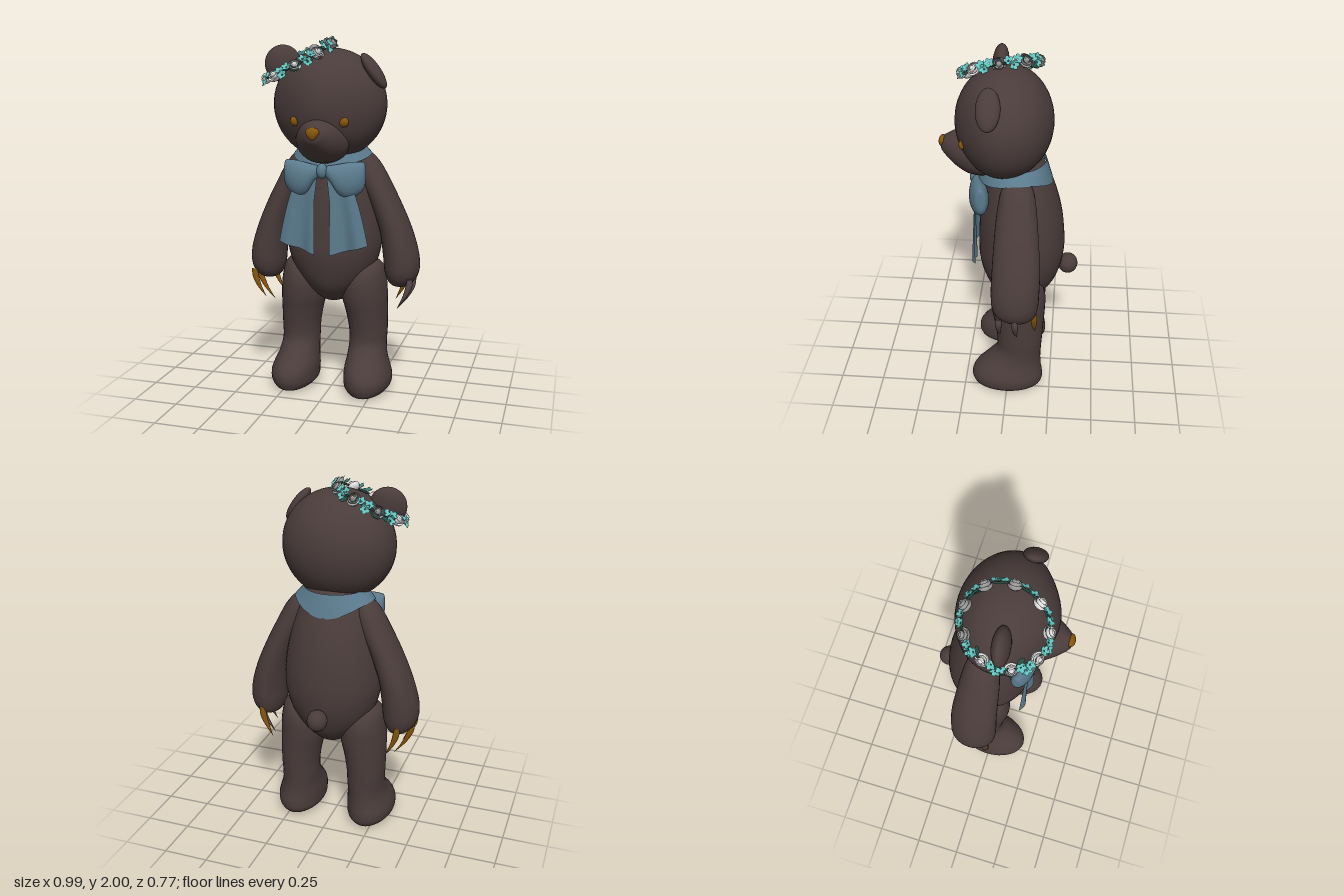
import * as THREE from 'three';
import { mergeGeometries } from 'three/addons/utils/BufferGeometryUtils.js';

const mat = (name, color, side = THREE.FrontSide) => {
  const m = new THREE.MeshStandardMaterial({ color, side });
  m.name = name;
  return m;
};

// Smooth closed body through elliptical sections [y, xc, rx, zc, rz], listed bottom to top
function loft(rows, seg = 32, steps = 5) {
  const curve = (f) => new THREE.CatmullRomCurve3(rows.map(f), false, 'catmullrom', 0.5);
  const mid = curve((r) => new THREE.Vector3(r[1], r[0], r[3]));
  const rad = curve((r) => new THREE.Vector3(r[2], 0, r[4]));
  const n = (rows.length - 1) * steps, pos = [], idx = [];
  for (let i = 0; i <= n; i++) {
    const c = mid.getPoint(i / n), r = rad.getPoint(i / n);
    for (let j = 0; j < seg; j++) {
      const a = (j / seg) * Math.PI * 2;
      pos.push(c.x + Math.max(r.x, 0) * Math.cos(a), c.y, c.z + Math.max(r.z, 0) * Math.sin(a));
      if (i === n) continue;
      const p = i * seg + j, q = i * seg + (j + 1) % seg;
      idx.push(p, p + seg, q, q, p + seg, q + seg);
    }
  }
  return surface(pos, idx);
}

// Open cloth sheet from a function (u, v) -> [x, y, z]
function sheet(fn, nu, nv) {
  const pos = [], idx = [];
  for (let i = 0; i <= nu; i++) for (let j = 0; j <= nv; j++) {
    pos.push(...fn(i / nu, j / nv));
    if (i === nu || j === nv) continue;
    const p = i * (nv + 1) + j, q = p + nv + 1;
    idx.push(p, q, p + 1, p + 1, q, q + 1);
  }
  return surface(pos, idx);
}

function surface(pos, idx) {
  const g = new THREE.BufferGeometry();
  g.setAttribute('position', new THREE.Float32BufferAttribute(pos, 3));
  g.setIndex(idx);
  g.computeVertexNormals();
  return g;
}

// Rose: a bud wrapped in rings of cupped petals, facing +z
function roseGeometry() {
  const parts = [new THREE.SphereGeometry(0.014, 8, 6).translate(0, 0, 0.012)];
  [[0.02, 3, 0.8], [0.029, 4, 1.15], [0.037, 5, 1.45]].forEach(([r, count, open], layer) => {
    for (let k = 0; k < count; k++) {
      const step = (Math.PI * 2) / count;
      const petal = new THREE.SphereGeometry(r, 5, 4, k * step + layer, step * 1.1, open, Math.PI - open);
      parts.push(petal.rotateX(Math.PI / 2).scale(1, 1, 0.75).translate(0, 0, 0.008 * (2 - layer)));
    }
  });
  return mergeGeometries(parts);
}

// Small five petal blossom facing +z
function blossomGeometry() {
  const parts = [];
  for (let k = 0; k < 5; k++) {
    parts.push(new THREE.CircleGeometry(0.0115, 7).scale(0.95, 1.15, 1).rotateX(0.4)
      .translate(0, 0.015, 0.004).rotateZ((k * Math.PI * 2) / 5));
  }
  return mergeGeometries(parts);
}

export function createModel() {
  const model = new THREE.Group();
  const fur = mat('dark brown fur', 0x4a3c3b);
  const amber = mat('amber', 0x85560c);
  const horn = mat('dark horn', 0x5a4a4a);
  const cloth = mat('blue cloth', 0x5b7b8d, THREE.DoubleSide);
  const white = mat('white petals', 0xe2e2e2, THREE.DoubleSide);
  const grey = mat('grey petals', 0x989898, THREE.DoubleSide);
  const teal = mat('teal petals', 0x62c4bf, THREE.DoubleSide);
  const green = mat('dark green leaf', 0x25483f, THREE.DoubleSide);

  const add = (name, geo, material, parent = model) => {
    const m = new THREE.Mesh(geo, material);
    m.name = name;
    parent.add(m);
    return m;
  };
  const ball = (name, material, p, s) => {
    const m = add(name, new THREE.SphereGeometry(1, 28, 20), material);
    m.position.set(...p);
    m.scale.set(...s);
    return m;
  };

  // Torso and tail
  add('torso', loft([
    [0.5, 0, 0, -0.06, 0], [0.525, 0, 0.07, -0.06, 0.08], [0.6, 0, 0.15, -0.06, 0.165],
    [0.7, 0, 0.225, -0.063, 0.212], [0.82, 0, 0.265, -0.065, 0.238], [0.95, 0, 0.27, -0.066, 0.238],
    [1.1, 0, 0.25, -0.06, 0.225], [1.25, 0, 0.215, -0.05, 0.195], [1.38, 0, 0.17, -0.03, 0.16],
    [1.45, 0, 0.12, -0.01, 0.12],
  ], 40), fur);
  ball('tail', fur, [0, 0.74, -0.33], [0.056, 0.06, 0.056]);

  // Head, with the face narrowing toward the muzzle
  const headGeo = new THREE.SphereGeometry(1, 48, 36);
  const hp = headGeo.attributes.position;
  for (let i = 0; i < hp.count; i++) {
    const x = hp.getX(i), y = hp.getY(i), z = hp.getZ(i);
    hp.setXYZ(i, x * 0.312, 1.63 + y * 0.3, 0.03 + z * 0.26 * (z > 0 ? 1 - 0.35 * x * x * z : 1));
  }
  headGeo.computeVertexNormals();
  add('head', headGeo, fur);

  const muzzle = add('muzzle', loft([
    [0, 0, 0.14, 0, 0.125], [0.07, 0, 0.148, 0, 0.13], [0.12, 0, 0.133, 0, 0.125], [0.18, 0, 0.103, 0, 0.1],
    [0.235, 0, 0.064, 0, 0.064], [0.265, 0, 0.034, 0, 0.036], [0.272, 0, 0, 0, 0],
  ]), fur);
  muzzle.position.set(0, 1.44, 0.1);
  muzzle.rotation.x = Math.PI / 2 - 0.2;

  const noseGeo = new THREE.SphereGeometry(1, 20, 14);
  const np = noseGeo.attributes.position;
  for (let i = 0; i < np.count; i++) np.setX(i, np.getX(i) * (0.8 + 0.35 * np.getY(i)));
  noseGeo.computeVertexNormals();
  const nose = add('nose', noseGeo, amber);
  nose.position.set(0, 1.497, 0.358);
  nose.scale.set(0.042, 0.035, 0.023);

  const earR = ball('rightEar', fur, [-0.255, 1.845, 0.07], [0.1, 0.1, 0.045]);
  earR.rotation.set(-0.1, 0.1, 0.3);
  const earL = ball('leftEar', fur, [0.255, 1.81, 0.09], [0.035, 0.11, 0.062]);
  earL.rotation.z = 0.62;

  for (const s of [1, -1]) {
    const side = s > 0 ? 'left' : 'right';
    ball(side + 'Eye', amber, [s * 0.132, 1.552, 0.236], [0.027, 0.027, 0.02]);

    // Leg with foot
    add(side + 'Leg', loft([
      [0, 0.215, 0, 0.01, 0], [0.008, 0.215, 0.085, 0.005, 0.16], [0.04, 0.215, 0.127, 0, 0.2],
      [0.09, 0.216, 0.135, 0, 0.206], [0.14, 0.21, 0.128, -0.008, 0.19], [0.2, 0.203, 0.113, -0.035, 0.158],
      [0.27, 0.2, 0.107, -0.065, 0.13], [0.35, 0.2, 0.11, -0.07, 0.13], [0.45, 0.192, 0.119, -0.066, 0.14],
      [0.55, 0.18, 0.13, -0.06, 0.152], [0.65, 0.18, 0.122, -0.06, 0.15], [0.73, 0.193, 0.085, -0.06, 0.11],
      [0.78, 0.205, 0, -0.06, 0],
    ].map((r) => [r[0], s * r[1], ...r.slice(2)])), fur);

    // Arm
    add(side + 'Arm', loft([
      [0.61, 0.385, 0, -0.06, 0], [0.635, 0.387, 0.06, -0.06, 0.085], [0.7, 0.393, 0.095, -0.055, 0.122],
      [0.8, 0.387, 0.1, -0.055, 0.13], [0.94, 0.355, 0.09, -0.058, 0.128], [1.08, 0.3, 0.085, -0.055, 0.118],
      [1.2, 0.24, 0.085, -0.053, 0.107], [1.3, 0.195, 0.075, -0.052, 0.09], [1.36, 0.17, 0.045, -0.05, 0.06],
      [1.39, 0.155, 0, -0.05, 0],
    ].map((r) => [r[0], s * r[1], ...r.slice(2)])), fur);

    // Curved claws: [tip y, root x, tip x, z]
    [[0.51, 0.455, 0.385, 0.03], [0.47, 0.46, 0.36, -0.06], [0.5, 0.4, 0.335, -0.16]].forEach(([y, xr, xt, z], k) => {
      const h = 0.68 - y;
      add(side + 'Claw', loft([
        [y, s * xt, 0, z - 0.005, 0], [y + h * 0.35, s * (xt + (xr - xt) * 0.55), 0.011, z, 0.012],
        [y + h * 0.7, s * (xt + (xr - xt) * 0.9), 0.018, z, 0.018], [y + h, s * xr, 0.016, z, 0.016],
      ], 10, 4), s > 0 && k < 2 ? horn : amber);
    });

    // Bow loop, puffed and laid sideways
    const loop = loft([
      [0.01, 1.285, 0.025, 0.18, 0.015], [0.045, 1.27, 0.045, 0.175, 0.035], [0.09, 1.24, 0.083, 0.165, 0.05],
      [0.145, 1.235, 0.098, 0.155, 0.052], [0.195, 1.25, 0.085, 0.145, 0.042], [0.222, 1.265, 0.062, 0.14, 0.025],
      [0.226, 1.265, 0, 0.14, 0],
    ].map((r) => [r[0], -s * r[1], ...r.slice(2)]), 24, 4);
    add(side + 'BowLoop', loop.rotateZ(-s * Math.PI / 2), cloth);

    // Hanging ribbon with soft folds
    add(side + 'Ribbon', sheet((u, v) => {
      const inner = 0.025 + 0.018 * Math.min(1, v * 3), outer = 0.1 + 0.15 * Math.sqrt(v);
      return [s * (inner + (outer - inner) * u), 1.27 - v * (0.445 - 0.06 * u),
        0.19 + 0.013 * v * Math.sin(u * 9 + 1) - 0.012 * u];
    }, 18, 12), cloth);
  }
  ball('bowKnot', cloth, [0, 1.285, 0.19], [0.03, 0.042, 0.03]);

  // Neckerchief, dropping to a point at the back
  add('neckerchief', sheet((u, v) => {
    const a = u * Math.PI * 2, c = Math.cos(a), sn = Math.sin(a);
    const back = Math.pow(Math.max(0, -sn), 3), front = Math.max(0, sn);
    const low = 1.36 - 0.07 * back - 0.05 * front;
    return [c * (0.17 + 0.05 * v), 1.415 + (low - 1.415) * v, -0.03 + sn * (0.165 + 0.035 * v)];
  }, 48, 4), cloth);

  // Flower crown, tilted over the right ear
  const crown = new THREE.Group();
  crown.name = 'flowerCrown';
  model.add(crown);
  const ringAt = (deg, lift = 0, out = 0) => {
    const a = THREE.MathUtils.degToRad(deg);
    const x = -0.16 + Math.cos(a) * (0.175 + out), z = 0.062 + Math.sin(a) * (0.205 + out);
    return new THREE.Vector3(x, 1.862 + 0.48 * (x + 0.16) - 0.2 * (z - 0.062) + lift, z);
  };
  add('crownVine', new THREE.TubeGeometry(new THREE.CatmullRomCurve3(
    Array.from({ length: 24 }, (_, i) => ringAt(i * 15)), true), 72, 0.006, 6, true), green, crown);
  const rose = roseGeometry(), blossom = blossomGeometry();
  const leaf = new THREE.CircleGeometry(0.03, 8).scale(0.5, 1, 1).translate(0, 0.025, 0);
  const place = (name, geo, material, deg, lift, out, up, spin) => {
    const m = add(name, geo, material, crown);
    const a = THREE.MathUtils.degToRad(deg);
    m.position.copy(ringAt(deg, lift, out));
    const n = new THREE.Vector3(Math.cos(a), up, Math.sin(a)).normalize();
    m.quaternion.setFromUnitVectors(new THREE.Vector3(0, 0, 1), n);
    m.rotateZ(spin);
  };
  for (let k = 0; k < 9; k++) {
    const d = -2 + k * 40;
    place('rose', rose, k === 0 || k > 5 ? grey : white, d, 0, 0, 0.8, k);
    place('blossom', blossom, teal, d + 14, 0.014, 0.004, 1, k * 2);
    place('blossom', blossom, teal, d + 20, -0.014, 0.014, 0.4, k + 1);
    place('blossom', blossom, teal, d + 27, 0.012, 0.002, 1.2, k * 3);
    place('leaf', leaf, green, d + 9, -0.006, 0, 0.7, k * 2.4);
    if (k % 2) place('leaf', leaf, green, d + 31, -0.01, -0.01, 0.9, k * 1.7);
  }
  return model;
}
